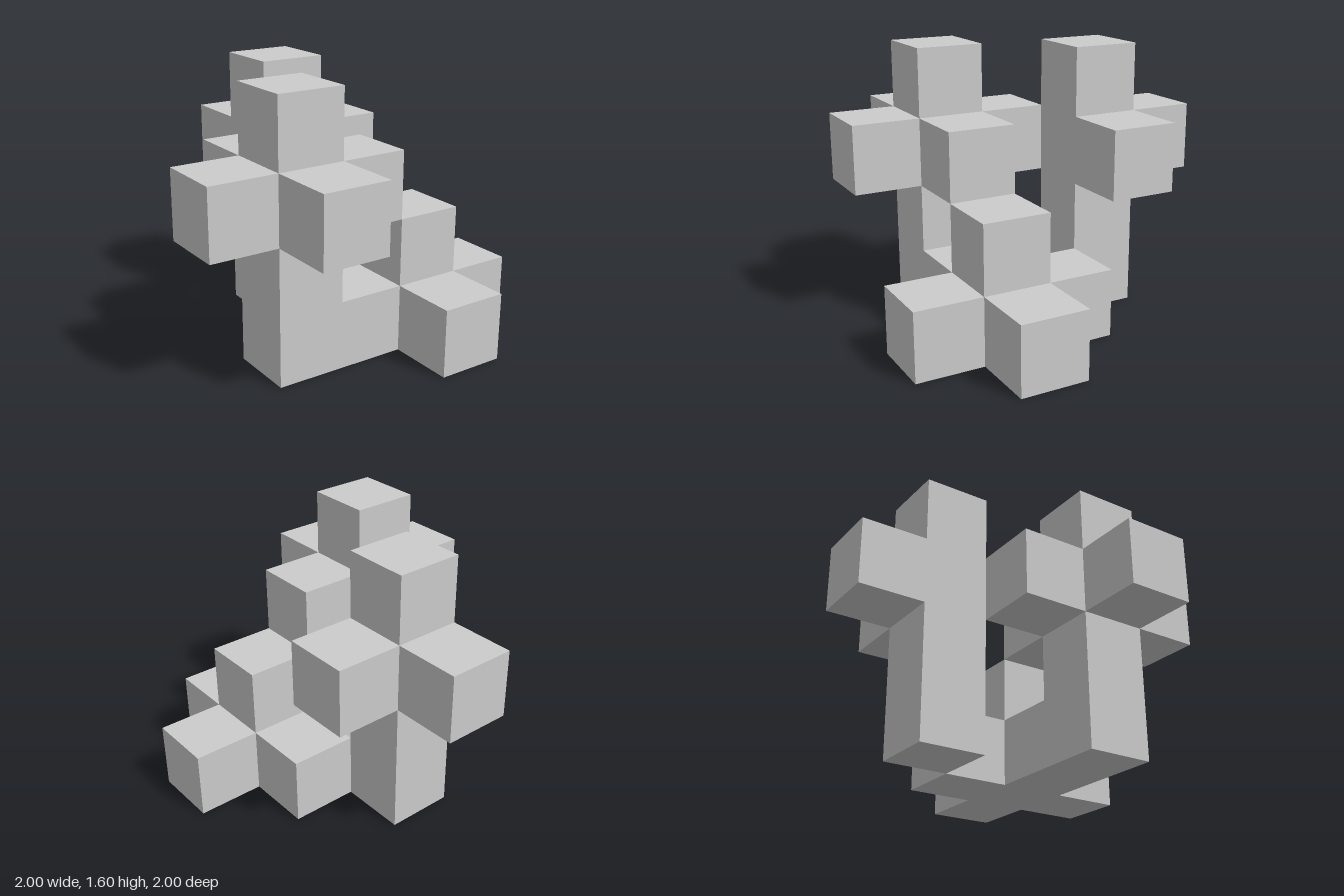
import * as THREE from 'three';
import { mergeGeometries } from 'three/addons/utils/BufferGeometryUtils.js';

const S = 0.4; // cube edge

// Cells of each part as [x, y, z] grid steps; y = 0 rests on the ground
const parts = {
  raisedCross: [
    [-1, 1, 1], [-1, 2, 1], [-1, 3, 1], // post
    [-2, 2, 1], [0, 2, 1], [-1, 2, 0], [-1, 2, 2], // four arms
  ],
  groundCross: [
    [1, 0, 1], [1, 1, 1], // centre and knob
    [2, 0, 1], [1, 0, 0], [1, 0, 2], // short arms
    [0, 0, 1], [-1, 0, 1], // long arm under the post
  ],
  rearColumn: [
    [0, 0, -1], [0, 1, -1], [0, 2, -1], [0, 3, -1], // column
    [1, 2, -1], [0, 2, -2], // side and back arms
  ],
};

// Outward directions with the turn that makes a plane face that way
const sides = [
  [[1, 0, 0], 0, Math.PI / 2], [[-1, 0, 0], 0, -Math.PI / 2],
  [[0, 1, 0], -Math.PI / 2, 0], [[0, -1, 0], Math.PI / 2, 0],
  [[0, 0, 1], 0, 0], [[0, 0, -1], 0, Math.PI],
];

export function createModel() {
  const model = new THREE.Group();
  model.name = 'cubeSculpture';
  const material = new THREE.MeshStandardMaterial({ color: 0xcccccc, flatShading: true });
  const filled = new Set(Object.values(parts).flat().map(String));

  for (const [name, cells] of Object.entries(parts)) {
    const faces = [];
    for (const [x, y, z] of cells) {
      for (const [[dx, dy, dz], rx, ry] of sides) {
        // Skip faces shared by two cubes, so only the outer skin remains
        if (filled.has(String([x + dx, y + dy, z + dz]))) continue;
        faces.push(new THREE.PlaneGeometry(S, S).rotateX(rx).rotateY(ry).translate(
          (x + dx / 2) * S, (y + 0.5 + dy / 2) * S, (z + dz / 2) * S));
      }
    }
    const mesh = new THREE.Mesh(mergeGeometries(faces), material);
    mesh.name = name;
    model.add(mesh);
  }
  return model;
}
